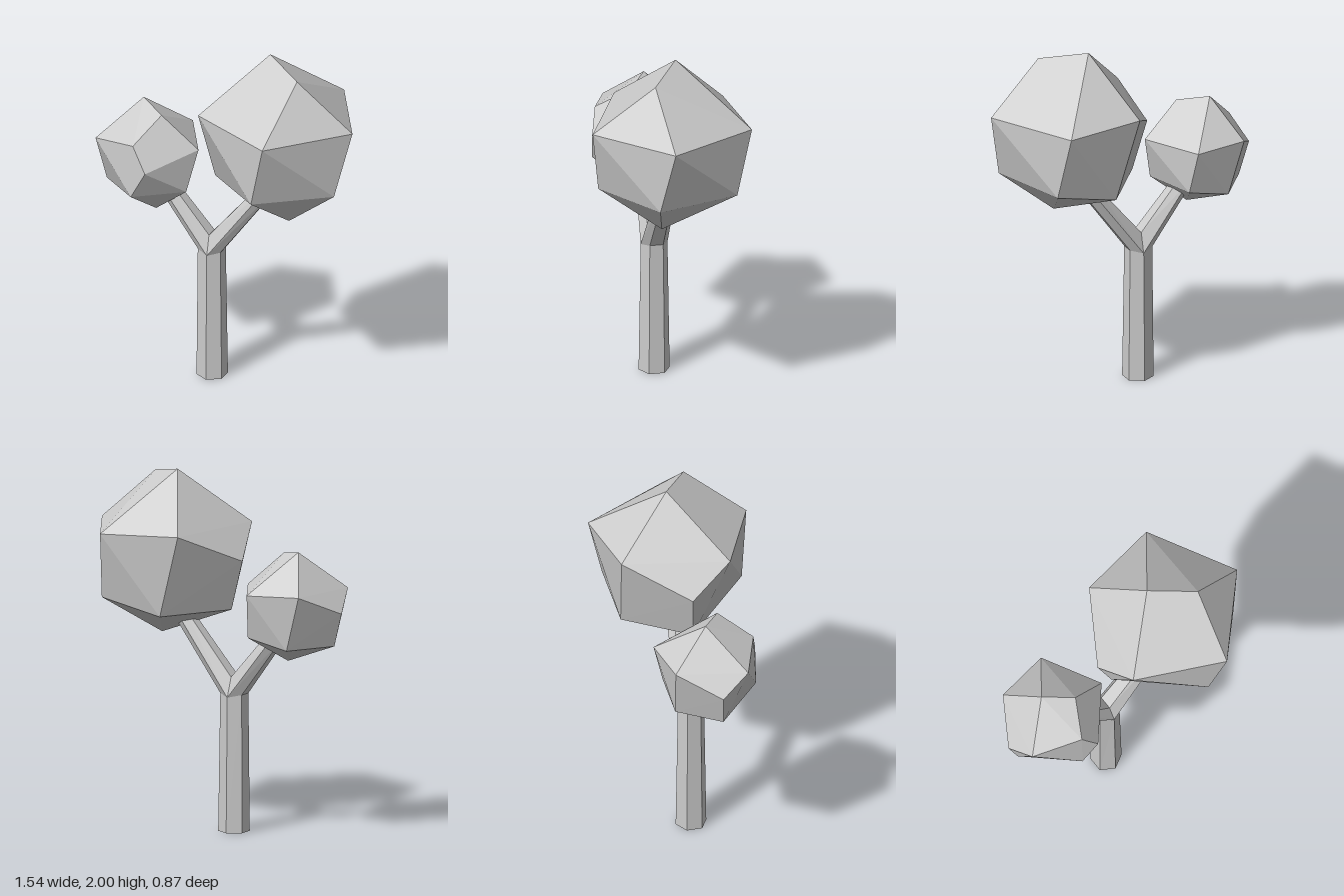
import * as THREE from 'three';
import { ConvexGeometry } from 'three/addons/geometries/ConvexGeometry.js';

const material = new THREE.MeshStandardMaterial({ color: 0xcccccc, flatShading: true });
const Z = -0.017; // depth of the trunk axis

// Six-sided ring: front and back corners on mid, the other pairs on right and left
function ring(mid, right, left, r) {
  return [[mid, r], [right, r / 2], [right, -r / 2], [mid, -r], [left, -r / 2], [left, r / 2]]
    .map(([[x, y], z]) => [x, y, Z + z]);
}

// Skin between two rings, with optional end caps
function loft(a, b, capStart, capEnd) {
  const pos = [];
  const tri = (...corners) => corners.forEach((c) => pos.push(...c));
  for (let i = 0; i < 6; i++) {
    const j = (i + 1) % 6;
    tri(a[i], a[j], b[j]);
    tri(a[i], b[j], b[i]);
    if (capStart && i > 0 && i < 5) tri(a[0], a[j], a[i]);
    if (capEnd && i > 0 && i < 5) tri(b[0], b[i], b[j]);
  }
  const geometry = new THREE.BufferGeometry();
  geometry.setAttribute('position', new THREE.Float32BufferAttribute(pos, 3));
  geometry.computeVertexNormals();
  return geometry;
}

// Corners shared by both crowns, relative to the crown centre
const crownCorners = [
  [-0.08, 0.47, -0.07], [0.15, 0.42, 0.09],                        // top ridge
  [0.46, 0.14, 0.04], [0.20, 0.14, -0.44], [-0.25, 0.15, -0.37],   // upper belt
  [-0.46, -0.02, -0.02], [-0.39, 0.16, 0.21],
  [0.38, -0.23, 0.11], [0.00, -0.23, 0.38], [-0.38, -0.30, 0.00],  // lower belt
  [-0.12, -0.31, -0.34], [0.24, -0.23, -0.35],
  [0.08, -0.47, 0.04],                                             // bottom tip
];

function crown(scale, frontCorners) {
  const points = [...crownCorners, ...frontCorners].map((p) => new THREE.Vector3(...p).multiplyScalar(scale));
  return new ConvexGeometry(points);
}

export function createModel() {
  const group = new THREE.Group();
  const add = (name, geometry, x = 0, y = 0, z = 0) => {
    const mesh = new THREE.Mesh(geometry, material);
    mesh.name = name;
    mesh.position.set(x, y, z);
    group.add(mesh);
  };

  // Trunk, splitting at the fork into two branches that share the crotch edge
  const mid = [-0.095, 0.755], right = [-0.03, 0.77], left = [-0.165, 0.77], crotch = [-0.098, 0.865];
  const r = 0.075;
  add('trunk', loft(ring([-0.095, 0], [-0.02, 0], [-0.17, 0], 0.087), ring(mid, right, left, r), true, false));
  add('leftBranch', loft(ring(mid, right, crotch, r),
    ring([0.26, 1.235], [0.30, 1.22], [0.21, 1.235], 0.055), false, true));
  add('rightBranch', loft(ring(mid, crotch, left, r),
    ring([-0.375, 1.12], [-0.335, 1.14], [-0.41, 1.10], 0.055), false, true));

  // Faceted crowns; the small one has its front corner cut off
  add('largeCrown', crown(1, [[0.09, 0.14, 0.43]]), 0.31, 1.53, 0);
  add('smallCrown', crown(0.667, [[0.01, 0.23, 0.36], [0.14, 0.02, 0.41]]), -0.465, 1.285, 0);

  return group;
}
